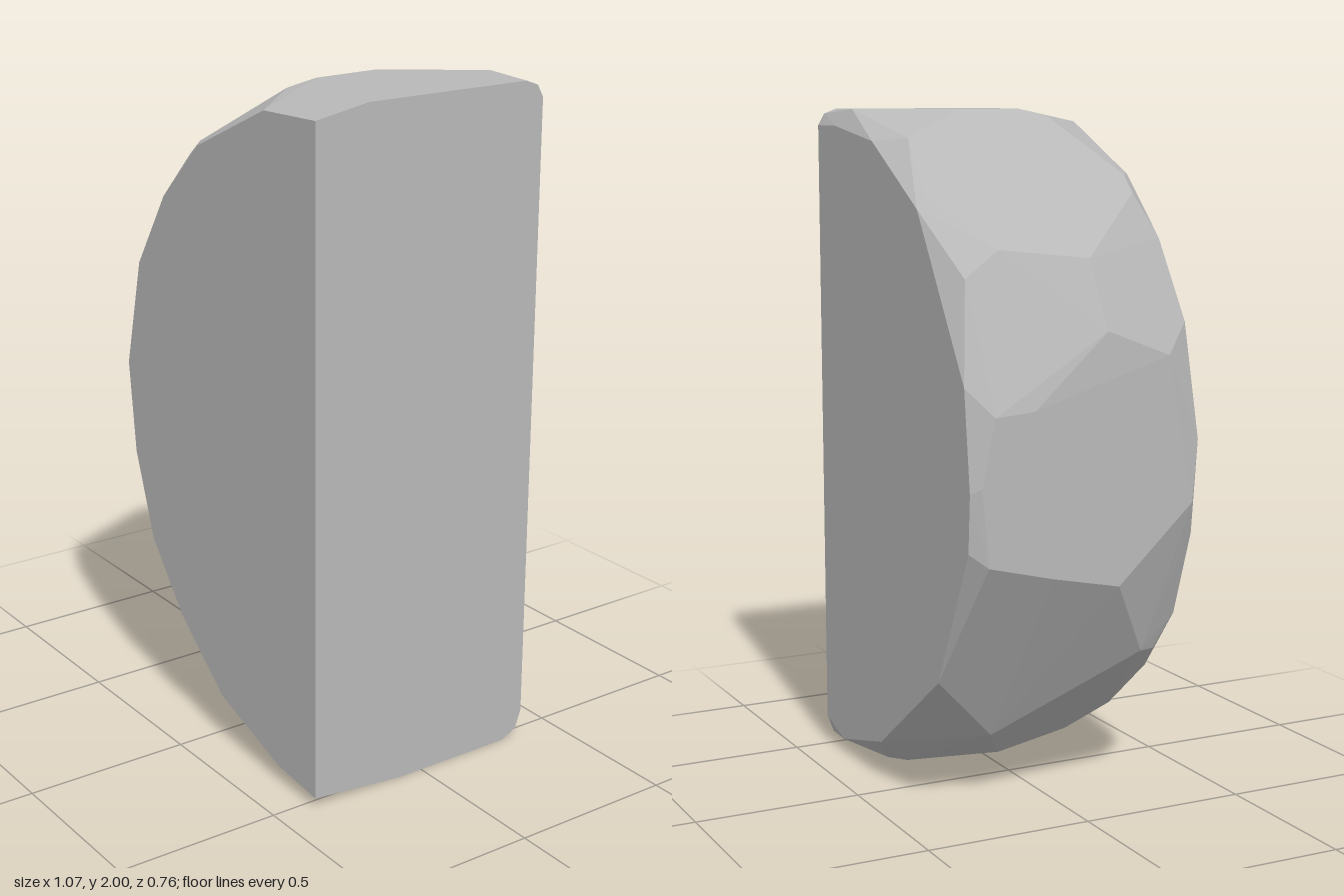
import * as THREE from 'three';
import { ConvexGeometry } from 'three/addons/geometries/ConvexGeometry.js';

const FLAT_X = 0.535; // straight cut side
const HALF_DEPTH = 0.38;

// Outline of the front cut, from top to bottom (x, y)
const frontOutline = [
  [FLAT_X, 1.97], [0.3, 1.96], [0.25, 1.935], [-0.03, 1.81], [-0.22, 1.63], [-0.37, 1.4],
  [-0.45, 1.07], [-0.42, 0.79], [-0.33, 0.53], [-0.17, 0.33], [0.05, 0.15], [0.35, 0.05], [FLAT_X, 0.03],
];

// Outline of the back cut, from top to bottom (x, y)
const backOutline = [
  [FLAT_X, 1.95], [0.4, 1.95], [0.12, 1.91], [-0.19, 1.73], [-0.487, 1.27],
  [-0.52, 0.985], [-0.51, 0.82], [-0.313, 0.41], [0.1, 0.117], [0.4, 0.04], [FLAT_X, 0.08],
];

// Corners of the chipped facets over the top and upper side (x, y, z)
const upperFacets = [
  [FLAT_X, 2, 0.21], [FLAT_X, 2, -0.32], [FLAT_X, 1.985, -0.36], [0.35, 2, -0.345],
  [0.16, 2, -0.09], [0.17, 2, 0.12], [0.155, 1.98, 0.205], [0.02, 1.92, -0.31],
  [-0.08, 1.81, 0.34], [-0.15, 1.76, 0.33], [-0.17, 1.76, -0.345], [-0.37, 1.625, -0.22],
  [-0.4, 1.595, 0.05], [-0.39, 1.55, -0.33], [-0.49, 1.4, 0.06], [-0.47, 1.32, 0.27],
];

// Corners of the chipped facets round the lower side and base (x, y, z)
const lowerFacets = [
  [-FLAT_X, 1.2, -0.19], [-FLAT_X, 1.19, -0.31], [-FLAT_X, 1, -0.35], [-FLAT_X, 0.73, -0.13],
  [-FLAT_X, 0.78, -0.33], [-0.51, 0.68, 0.09], [-0.465, 0.89, 0.355], [-0.37, 0.44, 0.245],
  [-0.33, 0.43, 0.31], [-0.22, 0.2, -0.17], [0.01, 0.06, -0.03], [0.1, 0.07, 0.25],
  [0.2, 0.01, -0.25], [0.28, 0, -0.1], [0.28, 0, -0.28], [FLAT_X, 0, 0.08],
  [FLAT_X, 0, -0.31], [FLAT_X, 0.025, -0.36],
];

export function createModel() {
  const group = new THREE.Group();
  group.name = 'halfBoulder';
  const stone = new THREE.MeshStandardMaterial({ color: 0xb8b8b8 });
  stone.name = 'grey stone';

  const points = [
    ...frontOutline.map(([x, y]) => new THREE.Vector3(x, y, HALF_DEPTH)),
    ...backOutline.map(([x, y]) => new THREE.Vector3(x, y, -HALF_DEPTH)),
    ...[...upperFacets, ...lowerFacets].map((p) => new THREE.Vector3(...p)),
  ];

  // The faceted skin stretched over all corners
  const rock = new THREE.Mesh(new ConvexGeometry(points), stone);
  rock.name = 'facetedRock';
  group.add(rock);
  return group;
}
